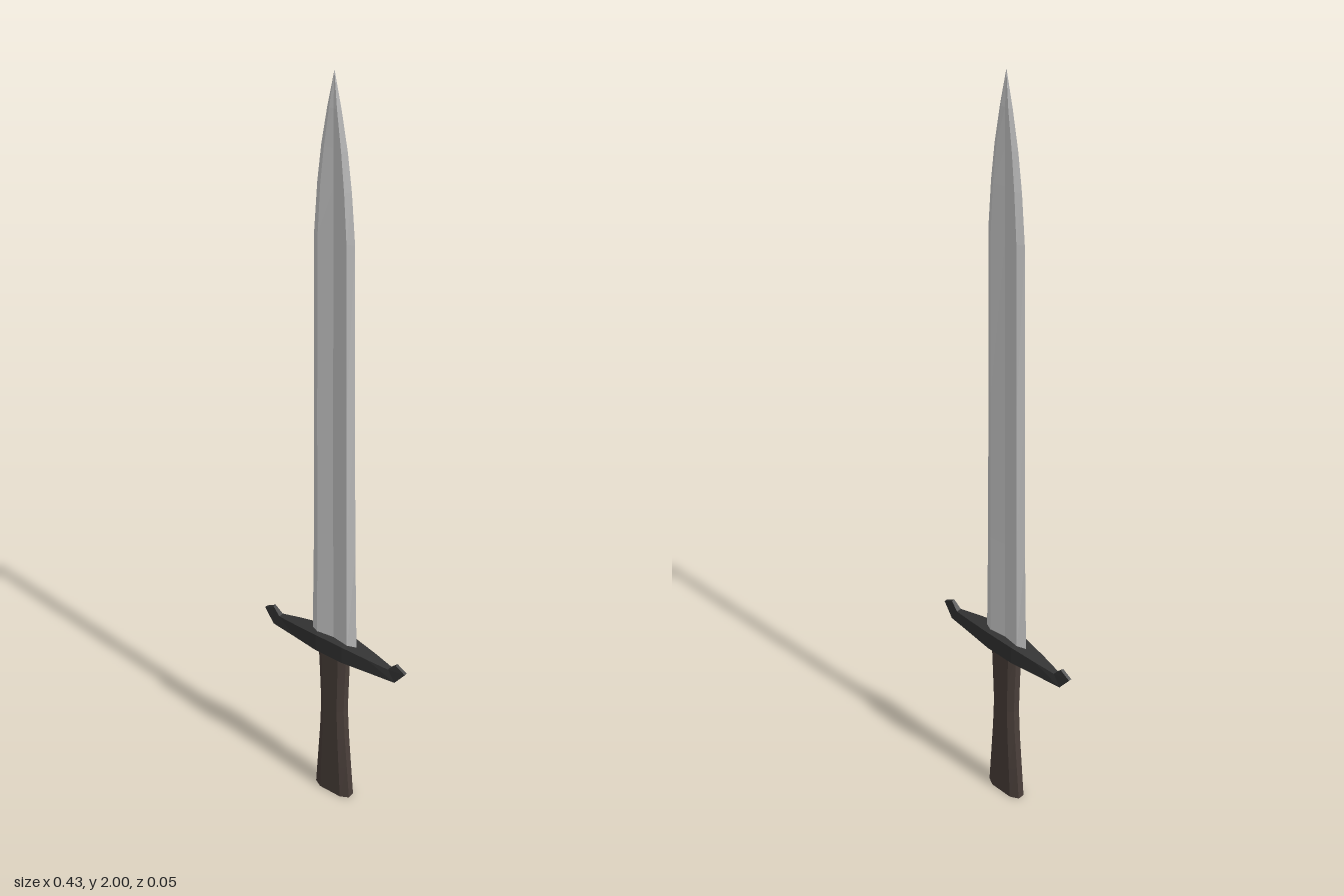
import * as THREE from 'three';

// Skin a list of rings (arrays of [x, y, z], counter-clockwise about the loft direction) and cap both ends.
function loft(rings) {
  const pos = [];
  const tri = (a, b, c) => pos.push(...a, ...b, ...c);
  const n = rings[0].length;
  const centre = r => [0, 1, 2].map(k => r.reduce((s, p) => s + p[k], 0) / n);
  const first = rings[0], last = rings[rings.length - 1];
  const c0 = centre(first), c1 = centre(last);
  for (let j = 0; j < n; j++) {
    const k = (j + 1) % n;
    for (let i = 0; i < rings.length - 1; i++) {
      const a = rings[i], b = rings[i + 1];
      tri(a[j], a[k], b[k]);
      tri(a[j], b[k], b[j]);
    }
    tri(c0, first[k], first[j]);
    tri(c1, last[j], last[k]);
  }
  const geo = new THREE.BufferGeometry();
  geo.setAttribute('position', new THREE.Float32BufferAttribute(pos, 3));
  geo.computeVertexNormals();
  return geo;
}

function part(name, rings, color) {
  const mesh = new THREE.Mesh(loft(rings), new THREE.MeshStandardMaterial({ color, flatShading: true }));
  mesh.name = name;
  return mesh;
}

export function createModel() {
  const group = new THREE.Group();
  group.name = 'sword';

  // Blade: bevelled edges, thick shoulders and a shallow central groove.
  // Each station: height, half width, shoulder x, shoulder z, groove z.
  const blade = [
    [0.49, 0.067, 0.045, 0.011, 0.005],
    [0.8, 0.061, 0.043, 0.0105, 0.005],
    [1.2, 0.057, 0.041, 0.01, 0.005],
    [1.62, 0.054, 0.038, 0.009, 0.004],
    [1.74, 0.045, 0.031, 0.0085, 0.004],
    [1.83, 0.034, 0.022, 0.007, 0.004],
    [1.92, 0.018, 0.01, 0.005, 0.004],
    [2.0, 0.0005, 0.0003, 0.0005, 0.0005],
  ].map(([y, w, sx, sz, g]) => [
    [w, y, 0], [sx, y, -sz], [0, y, -g], [-sx, y, -sz],
    [-w, y, 0], [-sx, y, sz], [0, y, g], [sx, y, sz],
  ]);
  group.add(part('blade', blade, 0xcccccc));

  // Crossguard: tapering arms with short upturned ends.
  // Each station: bottom x, bottom y, top x, top y, half depth.
  const arm = [
    [0.04, 0.466, 0.04, 0.515, 0.025],
    [0.11, 0.466, 0.11, 0.506, 0.016],
    [0.185, 0.466, 0.166, 0.498, 0.007],
    [0.213, 0.503, 0.186, 0.519, 0.004],
  ];
  const armRing = (s, [bx, by, tx, ty, z]) => [
    [s * bx, by, -z], [s * tx, ty, -z], [s * tx, ty, z], [s * bx, by, z],
  ];
  const guard = [
    ...[...arm].reverse().map(a => armRing(-1, a)),
    ...arm.map(a => armRing(1, a)),
  ];
  group.add(part('crossguard', guard, 0x333333));

  // Grip: flattened octagon, waisted in the middle and flaring to the foot.
  const grip = [
    [0, 0.053], [0.1, 0.046], [0.2, 0.039], [0.29, 0.035], [0.38, 0.038], [0.48, 0.042],
  ].map(([y, w]) => {
    const d = 0.02, cx = w * 0.6, cz = d * 0.45;
    return [
      [w, y, cz], [w, y, -cz], [cx, y, -d], [-cx, y, -d],
      [-w, y, -cz], [-w, y, cz], [-cx, y, d], [cx, y, d],
    ];
  });
  group.add(part('grip', grip, 0x4a3f3a));

  return group;
}
